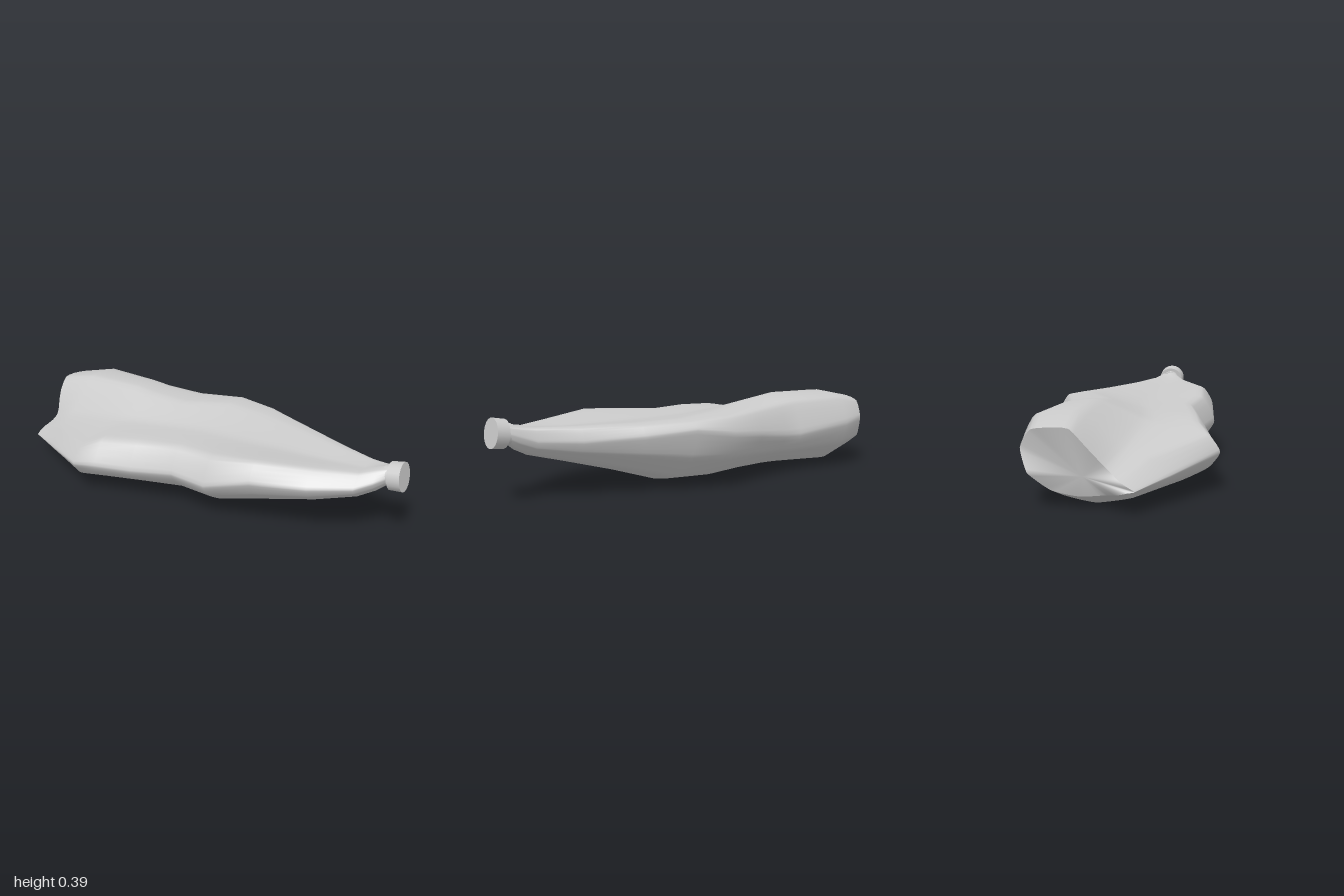
import * as THREE from 'three';

const material = new THREE.MeshStandardMaterial({ color: 0xcccccc, side: THREE.DoubleSide });

// Stations along the crushed bottle:
// x, bottom y, then z/y of back edge, back ridge, valley, front ridge, front edge
const STATIONS = [
  [-1.00, 0.05, -0.345, 0.25, -0.13, 0.34, 0.00, 0.19, 0.06, 0.14, 0.13, 0.10],
  [-0.81, 0.003, -0.38, 0.24, -0.13, 0.382, 0.05, 0.245, 0.15, 0.20, 0.243, 0.13],
  [-0.52, 0.006, -0.345, 0.21, -0.12, 0.39, 0.09, 0.30, 0.355, 0.25, 0.415, 0.175],
  [-0.42, 0.010, -0.345, 0.215, -0.12, 0.378, 0.08, 0.305, 0.305, 0.29, 0.388, 0.18],
  [-0.24, 0.014, -0.37, 0.24, -0.14, 0.36, 0.05, 0.31, 0.27, 0.305, 0.34, 0.18],
  [-0.03, 0.015, -0.422, 0.27, -0.25, 0.355, 0.00, 0.31, 0.22, 0.31, 0.297, 0.20],
  [0.16, 0.016, -0.387, 0.30, -0.25, 0.34, 0.00, 0.31, 0.25, 0.325, 0.32, 0.20],
  [0.38, 0.085, -0.295, 0.28, -0.20, 0.335, 0.00, 0.315, 0.23, 0.345, 0.288, 0.26],
  [0.63, 0.155, -0.185, 0.27, -0.12, 0.335, 0.00, 0.32, 0.14, 0.335, 0.222, 0.27],
  [0.81, 0.205, -0.10, 0.28, -0.07, 0.34, 0.01, 0.335, 0.07, 0.33, 0.125, 0.275],
  [0.88, 0.24, -0.08, 0.305, -0.05, 0.345, -0.01, 0.352, 0.03, 0.345, 0.075, 0.30],
  [0.92, 0.27, -0.063, 0.32, -0.045, 0.352, -0.015, 0.366, 0.015, 0.352, 0.033, 0.315],
];
const AROUND = 55;

// Closed cross-section: round belly below, folded surface above
function section([x, bottom, backZ, backY, ridgeZ, ridgeY, valleyZ, valleyY, topZ, topY, frontZ, frontY]) {
  const points = [];
  const mid = (frontZ + backZ) / 2, half = (frontZ - backZ) / 2;
  for (let i = 0; i <= 6; i++) {
    const a = (Math.PI * i) / 6;
    const edge = THREE.MathUtils.lerp(frontY, backY, i / 6);
    points.push([mid + half * Math.cos(a), edge - (edge - bottom) * Math.abs(Math.sin(a)) ** 1.2]);
  }
  points.push([backZ * 0.75 + ridgeZ * 0.25, backY * 0.12 + ridgeY * 0.88]);
  points.push([ridgeZ, ridgeY], [valleyZ, valleyY], [topZ, topY]);
  const curve = new THREE.CatmullRomCurve3(
    points.map(([z, y]) => new THREE.Vector3(x, y, z)), true, 'catmullrom', 0.25);
  return Array.from({ length: AROUND }, (_, i) => curve.getPoint(i / AROUND));
}

function meshFrom(name, vertices, index) {
  const geometry = new THREE.BufferGeometry().setFromPoints(vertices);
  geometry.setIndex(index);
  geometry.computeVertexNormals();
  const mesh = new THREE.Mesh(geometry, material);
  mesh.name = name;
  return mesh;
}

export function createModel() {
  const model = new THREE.Group();
  model.name = 'crushedBottle';

  // Body lofted through the sections
  const rings = STATIONS.map(section);
  // Bent rim at the wide end: swept back, undercut below, notched at the fold
  for (const p of rings[0]) {
    const under = THREE.MathUtils.smoothstep(0.1 - p.z, 0, 0.12);
    p.x += Math.max(0, -0.13 - p.z) ** 2 * 1.2 + Math.max(0, 0.15 - p.y) * 0.9 * under;
    p.x += 0.04 * Math.exp(-(((p.z - 0.01) / 0.06) ** 2)) * THREE.MathUtils.smoothstep(p.y, 0.1, 0.16);
  }
  const index = [];
  for (let i = 0; i < rings.length - 1; i++) {
    for (let j = 0; j < AROUND; j++) {
      const k = (j + 1) % AROUND;
      const a = i * AROUND + j, b = i * AROUND + k;
      index.push(a, b, a + AROUND, b, b + AROUND, a + AROUND);
    }
  }
  model.add(meshFrom('body', rings.flat(), index));

  // Flat base closing the wide end
  const fan = [];
  for (let j = 0; j < AROUND; j++) fan.push(AROUND, (j + 1) % AROUND, j);
  model.add(meshFrom('base', [...rings[0], new THREE.Vector3(-0.945, 0.14, -0.09)], fan));

  // Neck and screw cap, tilted slightly upward
  const top = new THREE.Group();
  top.name = 'neckAndCap';
  top.position.set(0.96, 0.321, -0.015);
  top.rotation.z = -Math.PI / 2 + 0.14;
  const neck = new THREE.Mesh(new THREE.CylinderGeometry(0.048, 0.048, 0.06, 20), material);
  neck.name = 'neck';
  neck.position.y = -0.025;
  const cap = new THREE.Mesh(new THREE.CylinderGeometry(0.068, 0.065, 0.06, 20), material);
  cap.name = 'cap';
  top.add(neck, cap);
  model.add(top);
  return model;
}
